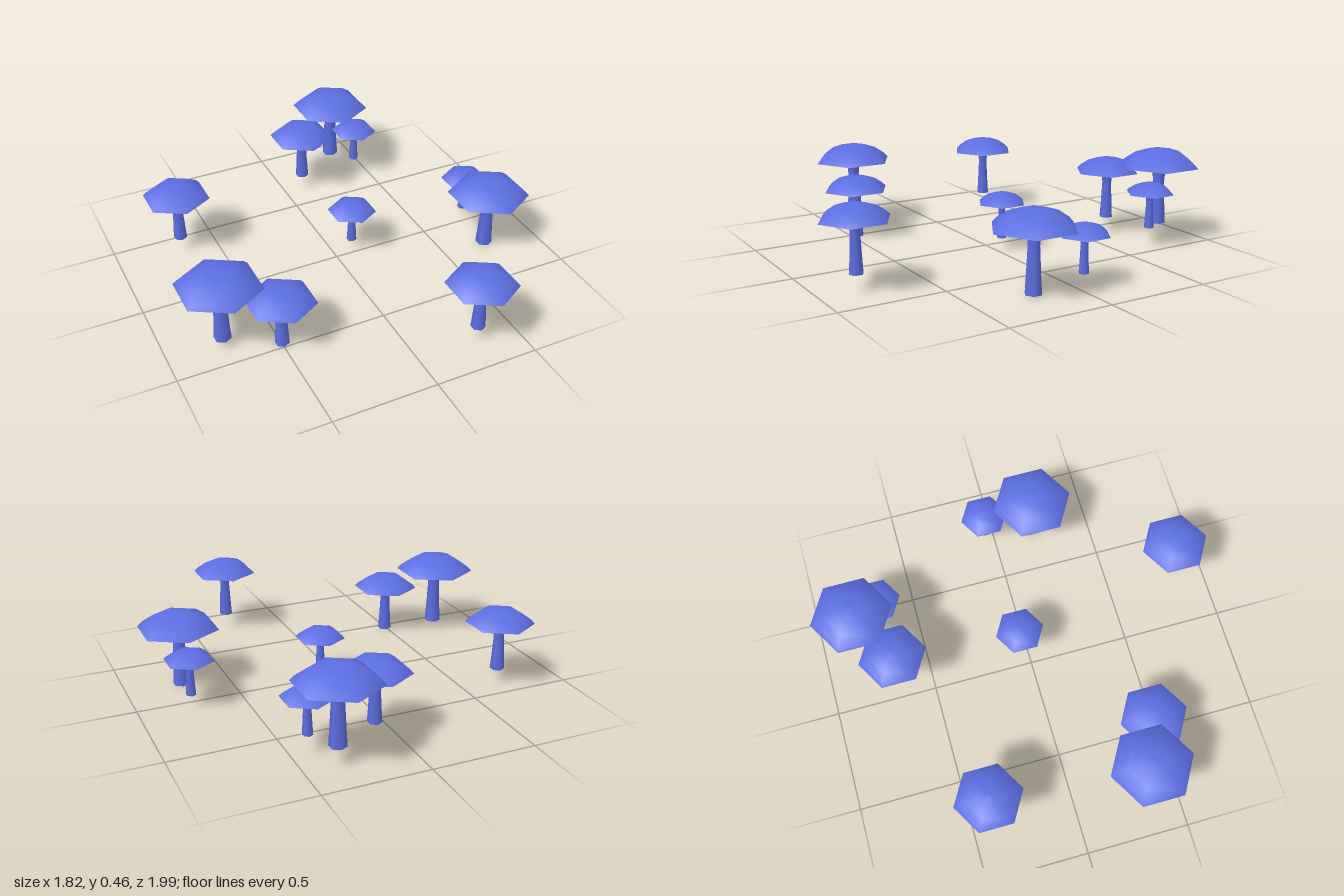
import * as THREE from 'three';

// Six-sided lathe; profiles run so that faces look outward
const turn = (pts) => new THREE.LatheGeometry(pts.map(([r, y]) => new THREE.Vector2(r, y)), 6);

export function createModel() {
  const model = new THREE.Group();
  const material = new THREE.MeshStandardMaterial({ color: 0x5b6ee1 });

  // Unit mushroom: cap radius 0.2, height 0.375
  const parts = {
    stemBase: turn([[0, 0], [0.041, 0]]),
    stem: turn([[0.041, 0], [0.036, 0.08], [0.029, 0.215], [0.034, 0.265], [0.047, 0.3], [0.05, 0.318]]),
    capUnderside: turn([[0.03, 0.318], [0.2, 0.29]]),
    capTop: turn([[0.2, 0.29], [0.178, 0.313], [0.125, 0.349], [0.065, 0.37], [0, 0.375]]),
  };

  // x, ground height, z, scale
  const large = 1, medium = 0.825, small = 0.598;
  const spots = [
    [0.34, 0.085, -0.8, large],
    [0.73, 0.005, 0.208, large],
    [-0.74, 0.045, 0.367, large],
    [0.105, 0.08, -0.66, medium],
    [-0.68, 0.08, -0.394, medium],
    [-0.495, 0, 0.465, medium],
    [0.302, 0.08, 0.826, medium],
    [0.425, 0.095, -0.675, small],
    [0.097, 0.06, -0.032, small],
    [0.75, 0.06, -0.04, small],
  ];

  spots.forEach(([x, y, z, s], i) => {
    const mushroom = new THREE.Group();
    mushroom.name = `mushroom${i + 1}`;
    for (const [name, geometry] of Object.entries(parts)) {
      const mesh = new THREE.Mesh(geometry, material);
      mesh.name = name;
      mushroom.add(mesh);
    }
    mushroom.position.set(x, y, z);
    mushroom.scale.setScalar(s);
    model.add(mushroom);
  });
  return model;
}
